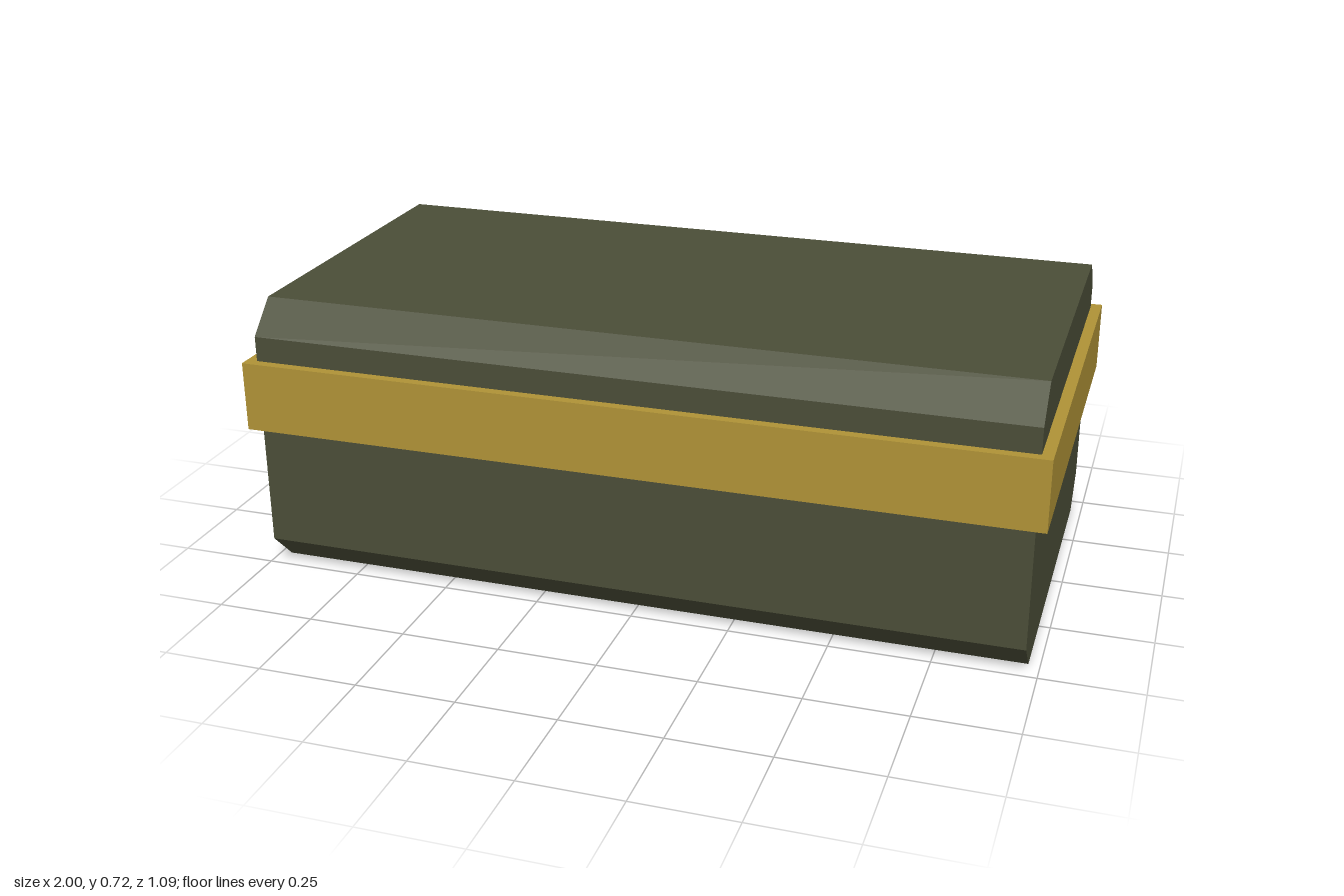
import * as THREE from 'three';

export function createModel() {
  const group = new THREE.Group();
  const olive = new THREE.MeshStandardMaterial({ color: 0x4b4e38 });
  olive.name = 'olive';
  const gold = new THREE.MeshStandardMaterial({ color: 0xb09337 });
  gold.name = 'gold';

  // Case: octagonal cross-section with bevelled long edges, extruded along x
  const length = 1.944, halfDepth = 0.52, height = 0.717, bevel = 0.08;
  const inner = halfDepth - bevel;
  const section = new THREE.Shape([
    [-inner, 0], [inner, 0], [halfDepth, bevel], [halfDepth, height - bevel],
    [inner, height], [-inner, height], [-halfDepth, height - bevel], [-halfDepth, bevel],
  ].map(([x, y]) => new THREE.Vector2(x, y)));
  const caseGeometry = new THREE.ExtrudeGeometry(section, { depth: length, bevelEnabled: false });
  caseGeometry.translate(0, 0, -length / 2).rotateY(Math.PI / 2);
  const body = new THREE.Mesh(caseGeometry, olive);
  body.name = 'case';
  group.add(body);

  // Band wrapped round the case, slightly proud on all four sides
  const band = new THREE.Mesh(new THREE.BoxGeometry(2, 0.178, 1.09), gold);
  band.name = 'band';
  band.position.y = 0.484;
  group.add(band);

  return group;
}
